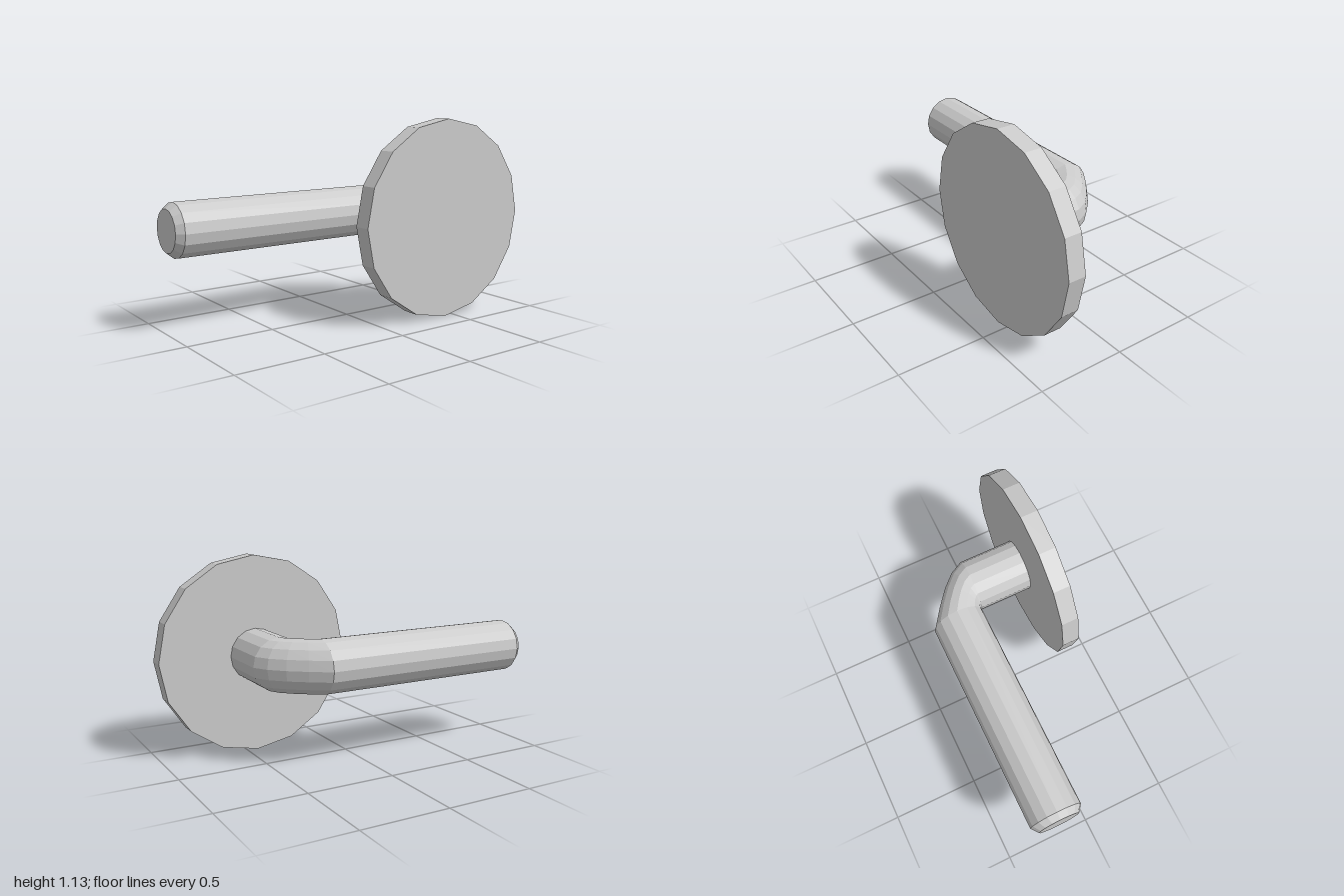
import * as THREE from 'three';

const SIDES = 16;
const Y = 0.565;   // height of the bar axis
const R = 0.15;    // bar radius

// Loft through rings given as [outerX, outerZ, innerX, innerZ, vertical radius]
function loft(rings) {
  const pos = [], idx = [];
  for (const [ox, oz, ix, iz, h] of rings) {
    const mx = (ox + ix) / 2, mz = (oz + iz) / 2;
    for (let i = 0; i < SIDES; i++) {
      const a = (i / SIDES) * Math.PI * 2;
      pos.push(mx + (ox - mx) * Math.cos(a), Y + h * Math.sin(a), mz + (oz - mz) * Math.cos(a));
    }
  }
  for (let r = 0; r < rings.length - 1; r++) {
    for (let i = 0; i < SIDES; i++) {
      const j = (i + 1) % SIDES;
      const a = r * SIDES + i, b = r * SIDES + j, c = b + SIDES, d = a + SIDES;
      idx.push(a, b, c, a, c, d);
    }
  }
  // end caps
  const last = (rings.length - 1) * SIDES;
  for (let i = 1; i < SIDES - 1; i++) {
    idx.push(0, i + 1, i, last, last + i, last + i + 1);
  }
  const geo = new THREE.BufferGeometry();
  geo.setAttribute('position', new THREE.Float32BufferAttribute(pos, 3));
  geo.setIndex(idx);
  const flat = geo.toNonIndexed();
  flat.computeVertexNormals();
  return flat;
}

export function createModel() {
  const group = new THREE.Group();
  const material = new THREE.MeshStandardMaterial({ color: 0xcccccc, flatShading: true });

  // Round wall plate, facing sideways
  const plate = new THREE.Mesh(new THREE.CylinderGeometry(0.563, 0.563, 0.1, SIDES), material);
  plate.name = 'mountingPlate';
  plate.rotation.z = Math.PI / 2;
  plate.position.set(0.31, Y, -0.437);
  group.add(plate);

  // Bent bar: bevelled tip, long arm, tight elbow, short neck into the plate
  const bar = new THREE.Mesh(loft([
    [-0.328, 1.0, -0.092, 1.0, 0.118],
    [-0.36, 0.96, -0.06, 0.96, R],
    [-0.36, -0.27, -0.06, -0.27, R],
    [-0.285, -0.378, -0.06, -0.278, R],
    [-0.21, -0.472, -0.059, -0.283, R],
    [-0.135, -0.545, -0.057, -0.287, R],
    [-0.055, -0.589, -0.055, -0.289, R],
    [0.262, -0.589, 0.262, -0.289, R],
  ]), material);
  bar.name = 'bentBar';
  group.add(bar);

  return group;
}
